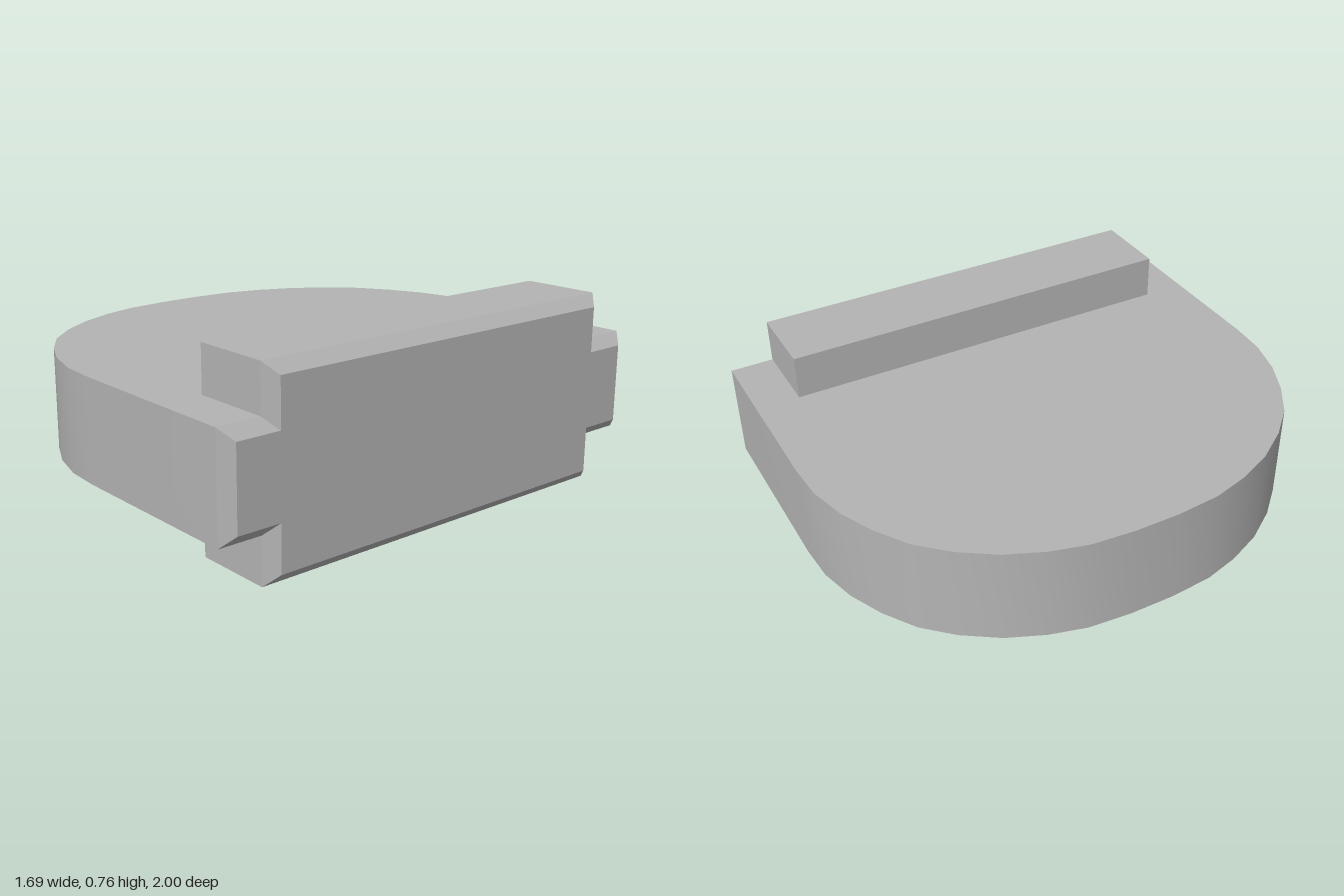
import * as THREE from 'three';
import { toCreasedNormals } from 'three/addons/utils/BufferGeometryUtils.js';

const MID = 0.38;         // centre height
const BODY_HALF = 0.2;    // half thickness of the rounded plate
const BAR_HALF = 0.38;    // half height of the crossbar
const BAR_Z = 0.825;      // half length of the crossbar
const BACK = 0.8, FRONT = 0.845, INSET = 0.045; // chamfered end face

export function createModel() {
  const gray = new THREE.MeshStandardMaterial({ color: 0xb4b4b4 });
  gray.name = 'plain gray';
  const model = new THREE.Group();
  const add = (name, geometry) => {
    const mesh = new THREE.Mesh(geometry, gray);
    mesh.name = name;
    model.add(mesh);
    return mesh;
  };

  // Rounded plate: half of the outline, mirrored across z
  const half = [
    [BACK, 1], [0.045, 1], [-0.108, 0.99], [-0.26, 0.95], [-0.4, 0.885], [-0.53, 0.8],
    [-0.635, 0.69], [-0.727, 0.555], [-0.79, 0.41], [-0.83, 0.265], [-0.845, 0.09],
  ];
  const outline = [...half, ...half.map(([x, z]) => [x, -z]).reverse()];
  const plateShape = new THREE.Shape(outline.map(([x, z]) => new THREE.Vector2(x, z)));
  const plate = new THREE.ExtrudeGeometry(plateShape, { depth: 2 * BODY_HALF, bevelEnabled: false });
  plate.rotateX(-Math.PI / 2);
  plate.translate(0, MID - BODY_HALF, 0);
  add('roundedPlate', toCreasedNormals(plate, 0.5));

  // Crossbar ridges above and below the plate
  const ridgeHeight = BAR_HALF - BODY_HALF;
  for (const side of [1, -1]) {
    const ridge = add(side > 0 ? 'upperRidge' : 'lowerRidge',
      new THREE.BoxGeometry(BACK - 0.485, ridgeHeight, 2 * BAR_Z));
    ridge.position.set((BACK + 0.485) / 2, MID + side * (BODY_HALF + ridgeHeight / 2), 0);
  }

  // Chamfered cross-shaped end: outer loop at the back, inset loop at the front
  const quarter = [
    [1, -BODY_HALF], [1, BODY_HALF], [BAR_Z, BODY_HALF],
    [BAR_Z, BAR_HALF], [-BAR_Z, BAR_HALF], [-BAR_Z, BODY_HALF],
  ];
  const outer = [...quarter, ...quarter.map(([u, v]) => [-u, -v])];
  const shrink = (n) => Math.sign(n) * (Math.abs(n) - INSET);
  const inner = outer.map(([u, v]) => [shrink(u), shrink(v)]);
  const positions = [];
  outer.forEach((a, i) => {
    const j = (i + 1) % outer.length;
    const p = [...a, BACK], q = [...outer[j], BACK];
    const r = [...inner[j], FRONT], s = [...inner[i], FRONT];
    positions.push(...p, ...q, ...r, ...p, ...r, ...s);
  });
  const chamfer = new THREE.BufferGeometry();
  chamfer.setAttribute('position', new THREE.Float32BufferAttribute(positions, 3));
  chamfer.computeVertexNormals();
  const faceShape = (loop) => new THREE.ShapeGeometry(
    new THREE.Shape(loop.map(([u, v]) => new THREE.Vector2(u, v))));
  const endFace = faceShape(inner).translate(0, 0, FRONT);
  for (const [name, geometry] of [['endChamfer', chamfer], ['endFace', endFace]]) {
    geometry.rotateY(Math.PI / 2);
    geometry.translate(0, MID, 0);
    add(name, geometry);
  }
  return model;
}
